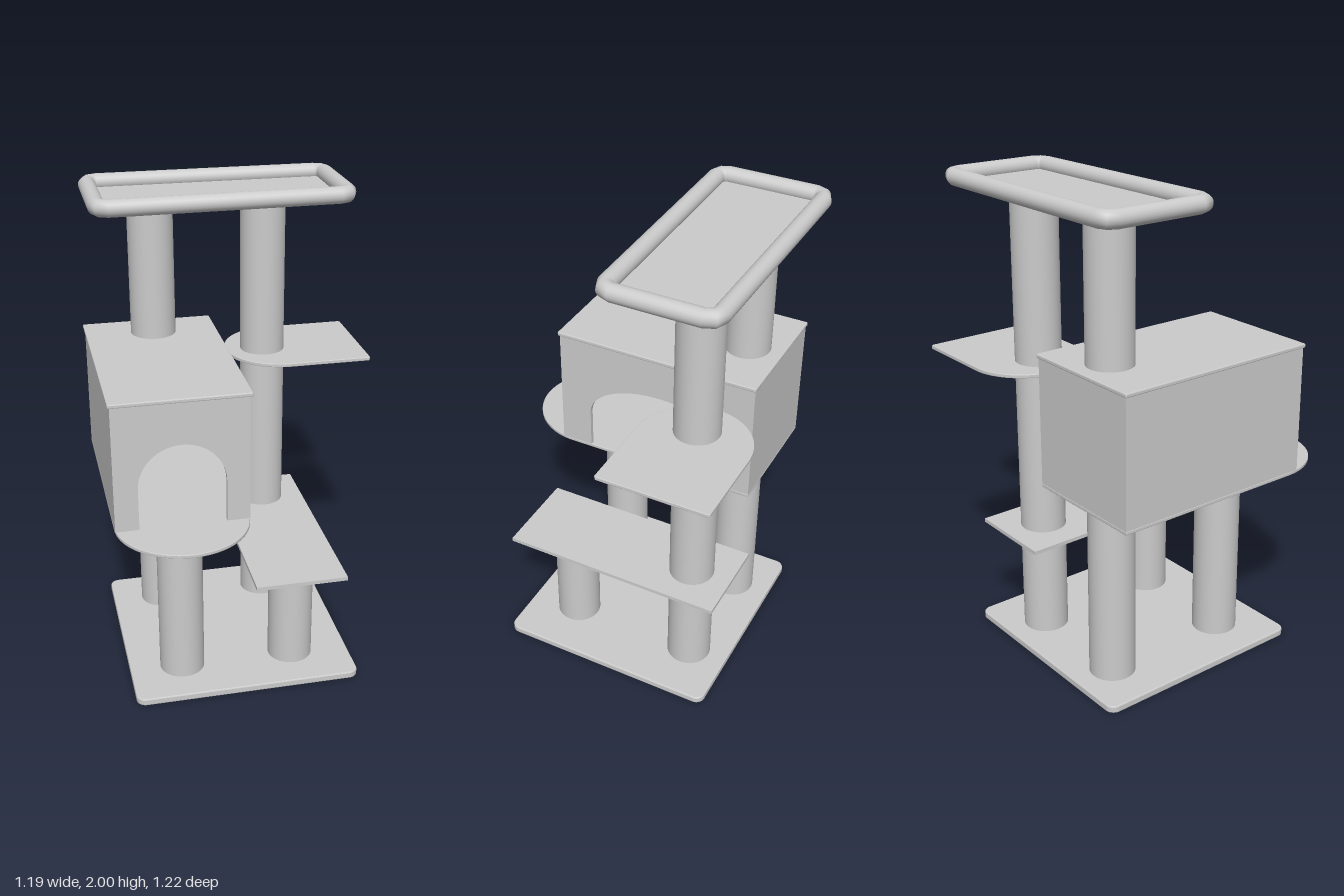
import * as THREE from 'three';

const material = new THREE.MeshStandardMaterial({ color: 0xcccccc });
const openMaterial = new THREE.MeshStandardMaterial({ color: 0xcccccc, side: THREE.DoubleSide });

function add(group, name, geometry, mat = material) {
  const mesh = new THREE.Mesh(geometry, mat);
  mesh.name = name;
  group.add(mesh);
  return mesh;
}

// Horizontal board from an outline drawn in x and -z, with softened edges
function board(group, name, shape, y0, y1, bevel = 0) {
  const geo = new THREE.ExtrudeGeometry(shape, {
    depth: y1 - y0 - 2 * bevel, curveSegments: 24,
    bevelEnabled: bevel > 0, bevelThickness: bevel, bevelSize: bevel, bevelOffset: -bevel, bevelSegments: 2,
  });
  geo.rotateX(-Math.PI / 2).translate(0, y0 + bevel, 0);
  return add(group, name, geo);
}

// Rectangle outline with rounded corners
function rect(x0, x1, z0, z1, r = 0) {
  const s = new THREE.Shape();
  const a = -z1, b = -z0;
  if (r === 0) return s.moveTo(x0, a).lineTo(x1, a).lineTo(x1, b).lineTo(x0, b).closePath();
  s.absarc(x1 - r, a + r, r, -Math.PI / 2, 0);
  s.absarc(x1 - r, b - r, r, 0, Math.PI / 2);
  s.absarc(x0 + r, b - r, r, Math.PI / 2, Math.PI);
  s.absarc(x0 + r, a + r, r, Math.PI, Math.PI * 1.5);
  return s.closePath();
}

function post(group, name, x, z, y0, y1) {
  const geo = new THREE.CylinderGeometry(0.095, 0.095, y1 - y0, 40);
  add(group, name, geo).position.set(x, (y0 + y1) / 2, z);
}

// Wall with an arched doorway open at the bottom
function archWall(u0, u1, y0, y1, a0, a1, spring, rise, thickness) {
  const s = new THREE.Shape();
  s.moveTo(u0, y0).lineTo(a0, y0).lineTo(a0, spring);
  s.absellipse((a0 + a1) / 2, spring, (a1 - a0) / 2, rise, Math.PI, 0, true);
  s.lineTo(a1, y0).lineTo(u1, y0).lineTo(u1, y1).lineTo(u0, y1).closePath();
  return new THREE.ExtrudeGeometry(s, { depth: thickness, bevelEnabled: false, curveSegments: 32 });
}

function box(x0, x1, y0, y1, z0, z1) {
  return new THREE.BoxGeometry(x1 - x0, y1 - y0, z1 - z0)
    .translate((x0 + x1) / 2, (y0 + y1) / 2, (z0 + z1) / 2);
}

// Path that visits its points exactly, one tube segment per point
class PointPath extends THREE.Curve {
  constructor(points) { super(); this.points = points; }
  getPoint(t, target = new THREE.Vector3()) {
    const n = this.points.length - 1;
    const i = Math.min(Math.floor(t * n + 1e-9), n - 1);
    return target.lerpVectors(this.points[i], this.points[i + 1], t * n - i);
  }
  getPointAt(t, target) { return this.getPoint(t, target); }
  getTangentAt(t, target) { return this.getTangent(t, target); }
}

function house() {
  const g = new THREE.Group();
  g.name = 'house';
  const x0 = -0.59, x1 = -0.052, z0 = -0.505, z1 = 0.378, y0 = 0.815, y1 = 1.342, t = 0.018;

  // Floor with a round porch at the front
  const r = (x1 - x0) / 2, cx = (x0 + x1) / 2;
  const floor = new THREE.Shape();
  floor.moveTo(x1, -z0).lineTo(x0, -z0).lineTo(x0, -0.338);
  floor.absarc(cx, -0.338, r, Math.PI, Math.PI * 2).closePath();
  board(g, 'houseFloor', floor, 0.8, y0, 0.003);

  // Walls, two of them with doorways
  const front = archWall(x0, x1, y0, y1, -0.495, -0.145, 0.99, 0.175, t);
  add(g, 'houseFrontWall', front.translate(0, 0, z1 - t));
  const side = archWall(-z1 + t, -z0 - t, y0, y1, -0.24, 0.42, 0.985, 0.18, t);
  add(g, 'houseLeftWall', side.rotateY(Math.PI / 2).translate(x1 - t, 0, 0));
  add(g, 'houseRightWall', box(x0, x0 + t, y0, y1, z0 + t, z1 - t));
  add(g, 'houseBackWall', box(x0, x1, y0, y1, z0, z0 + t));

  board(g, 'houseRoof', rect(-0.598, -0.042, -0.51, 0.384, 0.006), 1.34, 1.357, 0.004);
  return g;
}

function topPerch() {
  const g = new THREE.Group();
  g.name = 'topPerch';
  board(g, 'perchPanel', rect(-0.548, 0.468, -0.547, -0.115), 1.935, 1.95);

  // Padded rim: straight sides joined by short two-step corners
  const y = 1.965, tube = 0.035, r = 0.042;
  const corners = [[0.469, -0.114, 1, 1], [0.471, -0.546, 1, -1], [-0.549, -0.549, -1, -1], [-0.549, -0.1, -1, 1]];
  const start = new THREE.Vector3(-0.04, y, -0.107);
  const points = [start];
  corners.forEach(([x, z, sx, sz], i) => {
    for (let k = 0; k <= 2; k++) {
      const a = (k / 2) * Math.PI / 2;
      const along = i % 2 === 0 ? [Math.sin(a), Math.cos(a)] : [Math.cos(a), Math.sin(a)];
      points.push(new THREE.Vector3(x - sx * r * (1 - along[0]), y, z - sz * r * (1 - along[1])));
    }
  });
  points.push(start.clone());
  const rim = new THREE.TubeGeometry(new PointPath(points), points.length - 1, tube, 20, false);
  add(g, 'perchRim', rim, openMaterial);
  return g;
}

export function createModel() {
  const model = new THREE.Group();
  model.name = 'catTree';

  board(model, 'base', rect(-0.537, 0.418, -0.537, 0.418, 0.04), 0, 0.03, 0.005);

  // Posts
  const xr = -0.312, xl = 0.165, zf = 0.2, zb = -0.36;
  post(model, 'frontRightPost', xr, zf, 0.03, 0.8);
  post(model, 'backRightLowerPost', xr, zb, 0.03, 0.8);
  post(model, 'backRightUpperPost', xr, zb, 1.355, 1.936);
  post(model, 'frontLeftPost', xl, zf, 0.03, 0.495);
  post(model, 'backLeftPost', xl, zb, 0.03, 1.936);

  board(model, 'lowShelf', rect(-0.032, 0.352, -0.537, 0.416), 0.494, 0.51);

  // Side shelf, rounded where it wraps the post
  const shelf = new THREE.Shape();
  shelf.moveTo(0.24, 0.14).lineTo(0.587, 0.14).lineTo(0.594, 0.147);
  shelf.lineTo(0.594, 0.603).lineTo(0.587, 0.61).lineTo(0.24, 0.61);
  shelf.absarc(0.24, 0.375, 0.235, Math.PI / 2, Math.PI * 1.5).closePath();
  board(model, 'sideShelf', shelf, 1.23, 1.246, 0.003);

  model.add(house(), topPerch());
  return model;
}
